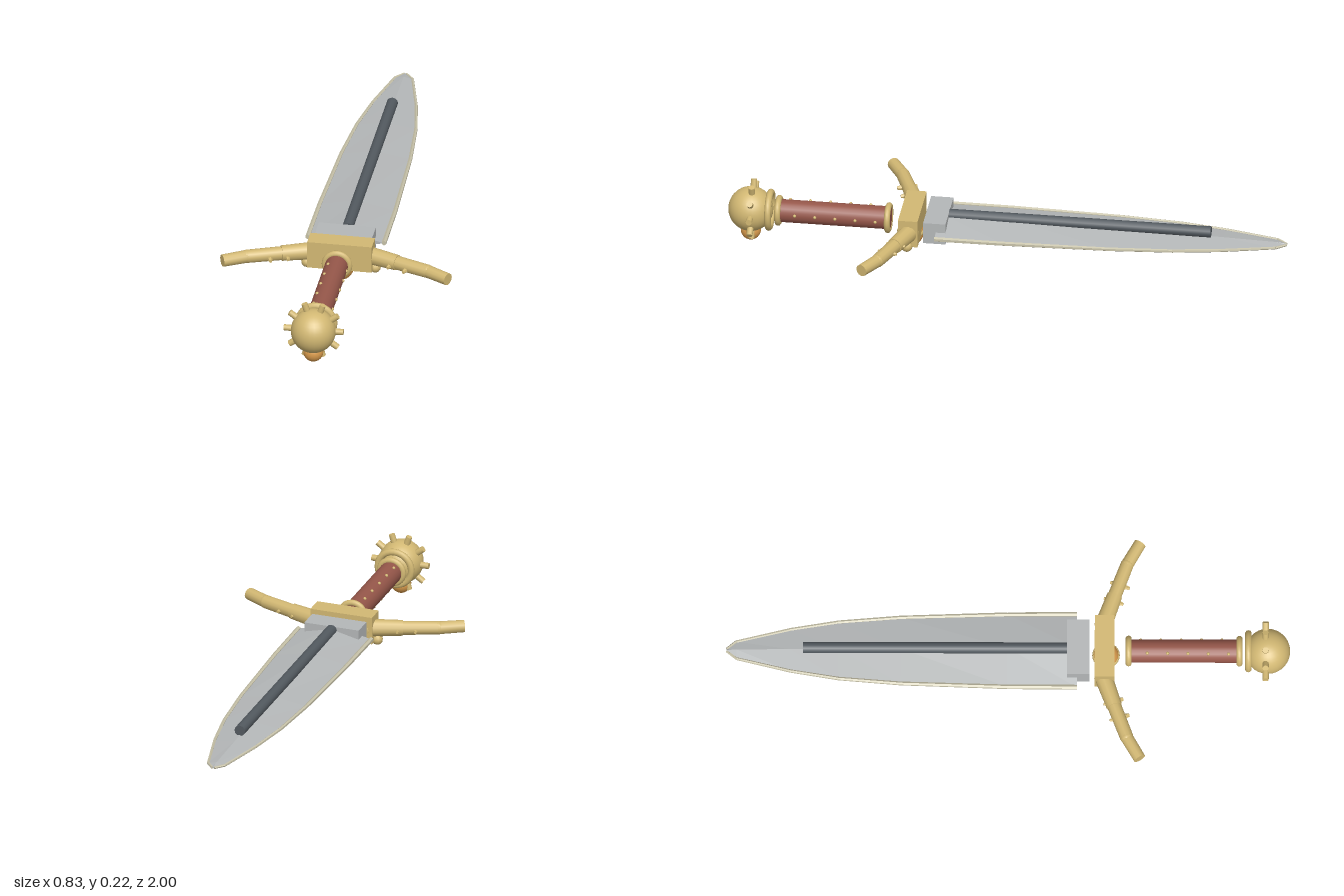
import * as THREE from 'three';

const Y = 0.122; // height of the long axis
const mat = (color, flatShading = false) => new THREE.MeshStandardMaterial({ color, flatShading });

export function createModel() {
  const dagger = new THREE.Group();
  dagger.name = 'dagger';
  const gold = mat(0xd2b873), goldFlat = mat(0xd2b873, true), amber = mat(0xd89a4c);
  const leather = mat(0x96574a), steel = mat(0xb4b7b8, true), dark = mat(0x535a60);
  const edgeMat = mat(0xc6c1a8, true);

  const add = (name, geometry, material, x = 0, y = Y, z = 0) => {
    const mesh = new THREE.Mesh(geometry, material);
    mesh.name = name;
    mesh.position.set(x, y, z);
    dagger.add(mesh);
    return mesh;
  };
  // rod from a to b, with radius ra at a and rb at b
  const rod = (name, a, b, ra, rb, material, sides = 12) => {
    const dir = b.clone().sub(a);
    const mesh = add(name, new THREE.CylinderGeometry(rb, ra, dir.length(), sides), material);
    mesh.position.copy(a).add(b).multiplyScalar(0.5);
    mesh.quaternion.setFromUnitVectors(new THREE.Vector3(0, 1, 0), dir.normalize());
    return mesh;
  };
  const v = (x, y, z) => new THREE.Vector3(x, y, z);

  // blade: diamond sections [z, half width, half thickness]
  const sections = [
    [0.245, 0.137, 0.033], [0.0, 0.136, 0.028], [-0.38, 0.124, 0.02],
    [-0.6, 0.106, 0.016], [-0.77, 0.078, 0.012], [-0.96, 0.032, 0.007], [-0.995, 0.004, 0.003],
  ];
  const pos = [], index = [];
  for (const [z, w, t] of sections) pos.push(w, 0, z, 0, t, z, -w, 0, z, 0, -t, z);
  for (let i = 0; i < sections.length - 1; i++) {
    for (let j = 0; j < 4; j++) {
      const a = i * 4 + j, b = i * 4 + (j + 1) % 4;
      index.push(a, a + 4, b, b, a + 4, b + 4);
    }
  }
  const e = (sections.length - 1) * 4;
  index.push(0, 1, 2, 0, 2, 3, e, e + 2, e + 1, e, e + 3, e + 2);
  // order of corners runs counter-clockwise seen from +z
  for (let i = 0; i < index.length - 12; i += 3) {
    const s = index[i + 1];
    index[i + 1] = s;
  }
  const bladeGeo = new THREE.BufferGeometry();
  bladeGeo.setAttribute('position', new THREE.Float32BufferAttribute(pos, 3));
  bladeGeo.setIndex(index);
  bladeGeo.computeVertexNormals();
  add('blade', bladeGeo, steel);

  // pale cutting edges, one strip per blade section
  for (const s of [-1, 1]) {
    for (let i = 0; i < sections.length - 1; i++) {
      const [z0, w0, t0] = sections[i], [z1, w1, t1] = sections[i + 1];
      rod('cuttingEdge', v(s * w0, Y, z0), v(s * w1, Y, z1), 0.004 + t0 * 0.15, 0.004 + t1 * 0.15, edgeMat, 6);
    }
    // raised dark ridge on each face
    rod('bladeRidge', v(0, Y + s * 0.03, 0.21), v(0, Y + s * 0.03, -0.725), 0.02, 0.02, dark, 12);
  }
  add('ricasso', new THREE.BoxGeometry(0.205, 0.08, 0.08), steel, 0, Y + 0.003, 0.25);

  // crossguard
  add('guardBlock', new THREE.BoxGeometry(0.232, 0.102, 0.07), goldFlat, 0, 0.124, 0.343);
  add('guardJewel', new THREE.SphereGeometry(0.046, 20, 14), amber, 0, 0.07, 0.348);
  const setting = add('jewelSetting', new THREE.TorusGeometry(0.04, 0.009, 8, 24), gold, 0, 0.076, 0.348);
  setting.rotation.x = Math.PI / 2;
  for (const s of [-1, 1]) {
    const p = [[0.09, 0.336], [0.208, 0.378], [0.325, 0.422], [0.405, 0.468]].map(([x, z]) => v(s * x, Y, z));
    rod('guardArmInner', p[0], p[1], 0.032, 0.028, gold);
    rod('guardArmMiddle', p[1], p[2], 0.025, 0.024, gold);
    rod('guardArmTip', p[2], p[3], 0.023, 0.022, gold);
    add('armJoint', new THREE.SphereGeometry(0.024, 12, 8), gold, p[2].x, Y, p[2].z);
    add('guardBead', new THREE.SphereGeometry(0.02, 12, 8), gold, s * 0.123, 0.079, 0.345);
    // small thorns at the front and back of each arm
    for (const [x, z] of [[0.19, 0.372], [0.25, 0.394]]) {
      rod('armThorn', v(s * x, Y - 0.006, z), v(s * (x - 0.012), Y - 0.008, z + 0.037), 0.014, 0.006, goldFlat, 6);
      rod('armThorn', v(s * x, Y - 0.006, z), v(s * (x + 0.01), Y - 0.004, z - 0.032), 0.012, 0.005, goldFlat, 6);
    }
  }

  // grip with a spiral of tiny studs
  rod('grip', v(0, Y, 0.42), v(0, Y, 0.825), 0.041, 0.041, leather, 20);
  for (let i = 0; i < 14; i++) {
    const a = i * 2.1;
    add('gripStud', new THREE.SphereGeometry(0.006, 8, 6), gold,
      0.041 * Math.cos(a), Y + 0.041 * Math.sin(a), 0.47 + i * 0.024);
  }

  // collars at both ends of the grip and below the pommel
  for (const [z, r, tube] of [[0.428, 0.044, 0.011], [0.82, 0.044, 0.011], [0.852, 0.063, 0.012]]) {
    add('collar', new THREE.TorusGeometry(r, tube, 10, 28), gold, 0, Y, z);
  }

  // pommel with a ring of studs and a jewel underneath
  add('pommel', new THREE.SphereGeometry(0.08, 28, 20), gold, 0, Y, 0.92);
  for (let i = 0; i < 10; i++) {
    const a = i * Math.PI / 5, c = Math.cos(a), s = Math.sin(a);
    rod('pommelStud', v(0.07 * c, Y + 0.07 * s, 0.913), v(0.107 * c, Y + 0.107 * s, 0.913), 0.012, 0.011, gold, 10);
  }
  add('pommelJewel', new THREE.SphereGeometry(0.036, 20, 14), amber, 0, 0.038, 0.92);

  return dagger;
}
